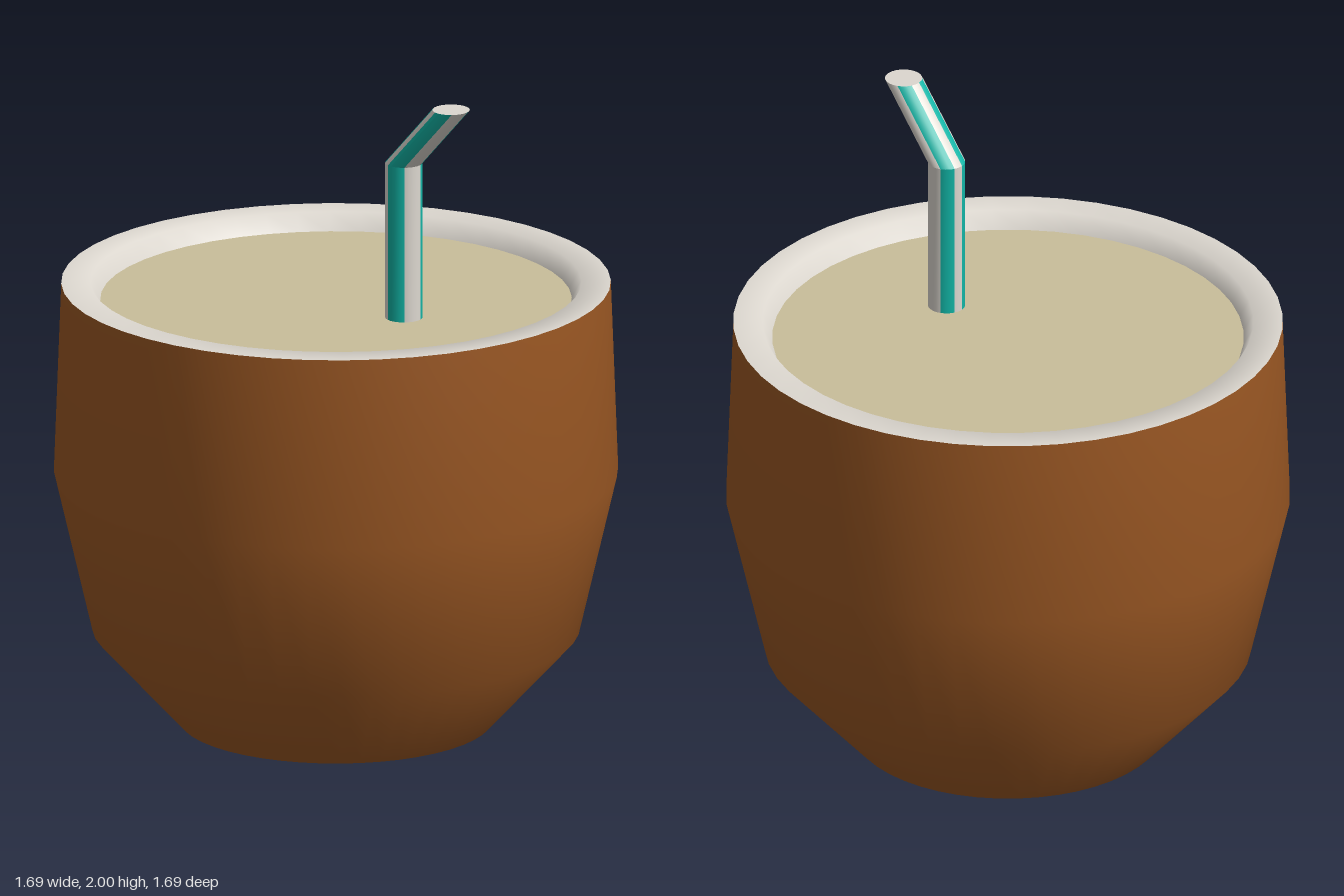
import * as THREE from 'three';

const SIDES = 24;
const material = (name, color) => {
  const m = new THREE.MeshStandardMaterial({ color });
  m.name = name;
  return m;
};

export function createModel() {
  const model = new THREE.Group();
  model.name = 'coconutDrink';
  const brown = material('shellBrown', 0x9a5723);
  const white = material('fleshWhite', 0xdcd7cf);
  const cream = material('drinkCream', 0xc9be9a);
  const teal = material('stripeTeal', 0x12b5a6);

  const add = (name, geometry, mat) => {
    const mesh = new THREE.Mesh(geometry, mat);
    mesh.name = name;
    model.add(mesh);
    return mesh;
  };
  const lathe = (points) =>
    new THREE.LatheGeometry(points.map(([r, y]) => new THREE.Vector2(r, y)), 48);

  // Rounded shell with a flat base
  add('shell', lathe([[0.47, 0], [0.73, 0.285], [0.845, 0.78], [0.823, 1.365]]), brown);
  add('shellBase', new THREE.CircleGeometry(0.47, 48).rotateX(Math.PI / 2), brown);

  // Pale flesh around the opening, dipping to the drink
  add('rim', lathe([[0.823, 1.365], [0.735, 1.365], [0.705, 1.31]]), white);
  add('drink', new THREE.CircleGeometry(0.708, 48).rotateX(-Math.PI / 2).translate(0, 1.312, 0), cream);

  // Straw pieces keep level ends and lean sideways; columns are white or teal
  const stripes = [[15, 45], [75, 128], [200, 244], [300, 345]];
  const strawPiece = (name, x0, y0, x1, y1) => {
    const h = y1 - y0;
    const geo = new THREE.CylinderGeometry(0.056, 0.056, h, SIDES, 1, true);
    const pos = geo.attributes.position;
    for (let i = 0; i < pos.count; i++) {
      const t = pos.getY(i) / h + 0.5;
      pos.setX(i, pos.getX(i) + x0 + (x1 - x0) * t);
      pos.setY(i, y0 + h * t);
    }
    geo.computeVertexNormals();
    geo.clearGroups();
    for (let i = 0; i < SIDES; i++) {
      const a = (((i + 0.5) * 360) / SIDES + 90) % 360;
      const striped = stripes.some(([from, to]) => a > from && a < to);
      geo.addGroup(i * 6, 6, striped ? 1 : 0);
    }
    add(name, geo, [white, teal]);
  };
  strawPiece('strawStem', 0.28, 1.25, 0.28, 1.795);
  strawPiece('strawTip', 0.28, 1.795, 0.475, 2);
  add('strawEnd', new THREE.CircleGeometry(0.056, SIDES).rotateX(-Math.PI / 2).translate(0.475, 2, 0), white);

  return model;
}
